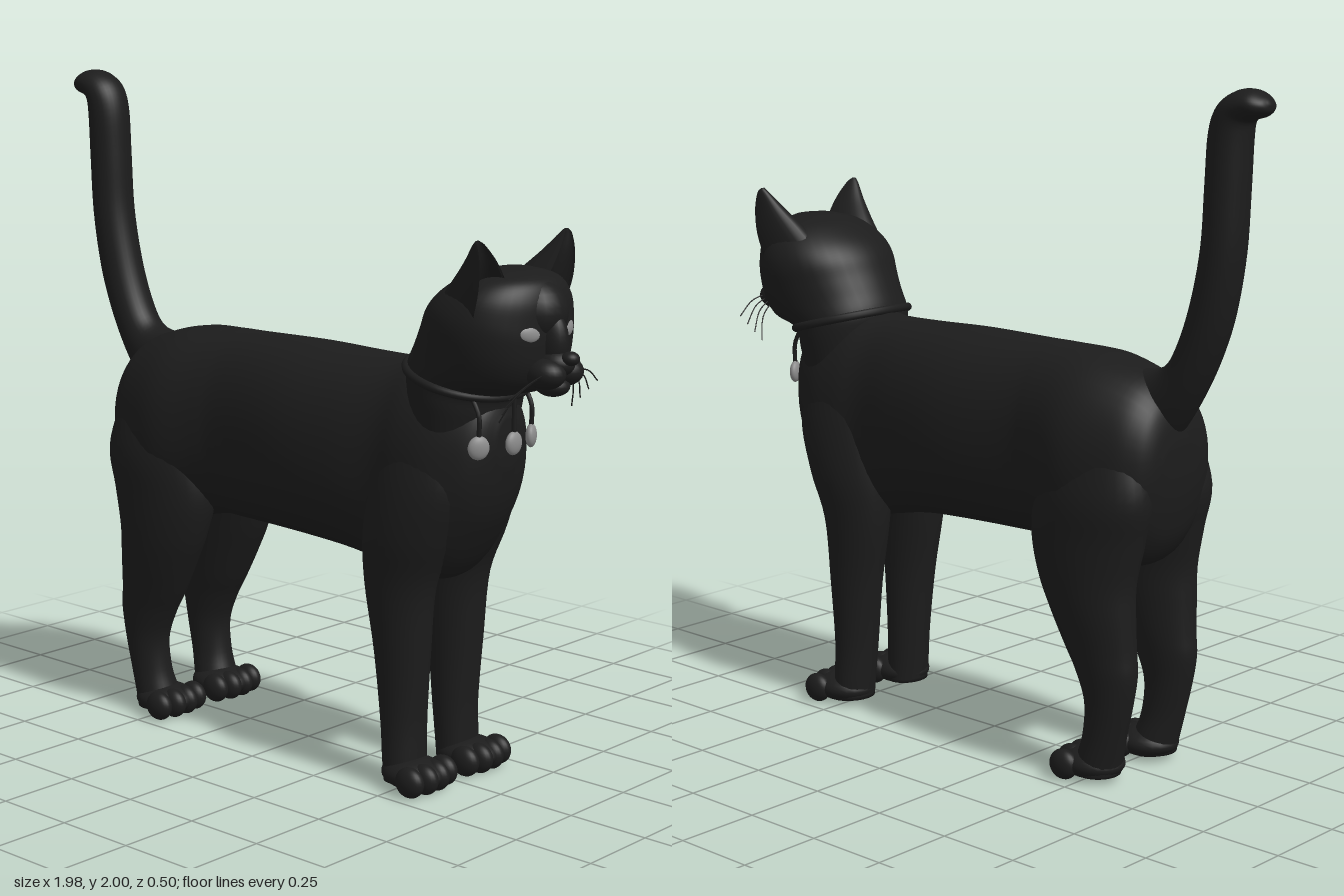
import * as THREE from 'three';

const fur = new THREE.MeshStandardMaterial({ color: 0x1c1c1c });
fur.name = 'black fur';
const silver = new THREE.MeshStandardMaterial({ color: 0x8c8c8c });
silver.name = 'silver grey';

// Smooth skin through oval sections: [ax, ay, bx, by, half width in z, z centre].
// Each oval spans from a to b; hollow folds its front half inward.
function loft(rows, { side = 1, power = 1, hollow = false, seg = 32, sub = 5 } = {}) {
  const curve = (f) => new THREE.CatmullRomCurve3(rows.map(f), false, 'catmullrom', 0.5);
  const ca = curve((r) => new THREE.Vector3(r[0], r[1], r[4]));
  const cb = curve((r) => new THREE.Vector3(r[2], r[3], (r[5] || 0) * side));
  const n = (rows.length - 1) * sub;
  const pos = [], idx = [];
  const pw = (v) => Math.sign(v) * Math.abs(v) ** power;
  const ring = (t, k) => {
    const a = ca.getPoint(t), b = cb.getPoint(t);
    for (let j = 0; j < seg; j++) {
      const th = (j / seg) * Math.PI * 2;
      let c = pw(Math.cos(th));
      if (hollow && c > 0) c *= -0.45;
      pos.push((a.x + b.x) / 2 + ((b.x - a.x) / 2) * c * k,
        (a.y + b.y) / 2 + ((b.y - a.y) / 2) * c * k,
        b.z + a.z * pw(Math.sin(th)) * k);
    }
  };
  ring(0, 0.001);
  for (let i = 0; i <= n; i++) ring(i / n, 1);
  ring(1, 0.001);
  for (let i = 0; i < n + 2; i++) {
    for (let j = 0; j < seg; j++) {
      const p = i * seg + j, q = i * seg + ((j + 1) % seg);
      idx.push(p, q, q + seg, p, q + seg, p + seg);
    }
  }
  const g = new THREE.BufferGeometry();
  g.setAttribute('position', new THREE.Float32BufferAttribute(pos, 3));
  g.setIndex(idx);
  g.computeVertexNormals();
  return g;
}

export function createModel() {
  const cat = new THREE.Group();
  cat.name = 'cat';
  const add = (name, geo, mat = fur) => {
    const m = new THREE.Mesh(geo, mat);
    m.name = name;
    cat.add(m);
    return m;
  };
  const ball = (name, p, r, mat = fur) => {
    const m = add(name, new THREE.SphereGeometry(1, 24, 16), mat);
    m.position.set(...p);
    m.scale.set(...r);
    return m;
  };
  const tube = (name, pts, r, closed = false, n = 8) => add(name, new THREE.TubeGeometry(
    new THREE.CatmullRomCurve3(pts.map((p) => new THREE.Vector3(...p)), closed), n, r, closed ? 10 : 5, closed));

  // Body, rump to chest: [x, bottom, top, half width]
  add('body', loft([
    [-0.713, 0.9, 1.0, 0.08], [-0.7, 0.8, 1.08, 0.13], [-0.67, 0.7, 1.14, 0.17],
    [-0.6, 0.63, 1.19, 0.21], [-0.45, 0.63, 1.23, 0.242], [-0.3, 0.66, 1.237, 0.21],
    [-0.2, 0.66, 1.238, 0.2], [0.05, 0.655, 1.24, 0.222], [0.25, 0.64, 1.235, 0.21],
    [0.4, 0.61, 1.235, 0.19], [0.5, 0.6, 1.245, 0.2], [0.6, 0.63, 1.22, 0.195],
    [0.69, 0.76, 1.18, 0.155], [0.735, 0.86, 1.16, 0.11], [0.76, 0.97, 1.1, 0.05],
  ].map(([x, b, t, w]) => [x, b, x, t, w]), { power: 0.9, seg: 40 }));

  // Upright tail with a hooked tip
  add('tail', loft([
    [-0.5, 1.2, -0.66, 0.98, 0.08], [-0.6, 1.2, -0.705, 1.03, 0.075], [-0.665, 1.225, -0.77, 1.13, 0.07],
    [-0.71, 1.3, -0.83, 1.25, 0.068], [-0.75, 1.42, -0.875, 1.38, 0.067], [-0.78, 1.57, -0.905, 1.55, 0.067],
    [-0.79, 1.74, -0.915, 1.72, 0.067], [-0.8, 1.88, -0.92, 1.86, 0.068], [-0.83, 1.955, -0.925, 1.905, 0.068],
    [-0.885, 1.993, -0.945, 1.918, 0.066], [-0.935, 1.998, -0.97, 1.925, 0.058],
    [-0.97, 1.982, -0.988, 1.94, 0.035], [-0.985, 1.97, -0.991, 1.958, 0.008],
  ]));

  // Head and neck, crown to collar
  add('head', loft([
    [0.72, 1.525, 0.82, 1.522, 0.06], [0.66, 1.51, 0.88, 1.495, 0.14], [0.61, 1.485, 0.905, 1.445, 0.19],
    [0.56, 1.45, 0.91, 1.38, 0.217], [0.525, 1.41, 0.91, 1.32, 0.224], [0.5, 1.36, 0.9, 1.25, 0.215],
    [0.475, 1.31, 0.86, 1.195, 0.203], [0.45, 1.25, 0.765, 1.165, 0.19],
    [0.45, 1.2, 0.745, 1.1, 0.185], [0.46, 1.12, 0.72, 1.0, 0.17],
  ], { seg: 40 }));
  ball('forehead', [0.82, 1.41, 0], [0.113, 0.1, 0.1]);
  ball('noseBridge', [0.895, 1.335, 0], [0.055, 0.085, 0.04]);
  ball('nose', [0.963, 1.293, 0], [0.026, 0.02, 0.026]);
  ball('muzzle', [0.91, 1.275, 0], [0.06, 0.04, 0.05]);
  ball('chin', [0.905, 1.212, 0], [0.05, 0.03, 0.045]);

  // Collar around the tilted neck base
  const loop = [];
  for (let i = 0; i < 24; i++) {
    const t = (i / 24) * Math.PI * 2, c = Math.cos(t);
    loop.push([0.607 + 0.157 * c, 1.207 - 0.042 * c, 0.192 * Math.sin(t)]);
  }
  tube('collar', loop, 0.013, true, 64);

  // Round tags hanging from the collar
  for (const s of [-1, 0, 1]) {
    const x = s ? 0.745 : 0.775, z = s * 0.118;
    tube('tagLink', [[x - (s ? 0.025 : 0), 1.17, z], [x, 1.12, z], [x, 1.06, z]], 0.007);
    const tag = ball('tag', [x, 1.033, z], [0.016, 0.034, 0.032], silver);
    tag.rotation.y = -s * 0.5;
  }

  for (const s of [-1, 1]) {
    ball('cheekPad', [0.91, 1.25, s * 0.04], [0.06, 0.043, 0.05]);
    const eye = ball('eye', [0.886, 1.362, s * 0.088], [0.014, 0.024, 0.036], silver);
    eye.rotation.set(s * -0.2, -s * 0.4, 0);

    // Hollow ears opening forward
    add('ear', loft([
      [0.79, 1.617, 0.8, 1.617, 0.006, 0.197], [0.775, 1.602, 0.835, 1.602, 0.018, 0.192],
      [0.735, 1.555, 0.895, 1.545, 0.04, 0.172], [0.68, 1.5, 0.94, 1.46, 0.063, 0.148],
      [0.62, 1.44, 0.96, 1.38, 0.075, 0.13],
    ], { side: s, hollow: true }));

    // Whiskers
    for (let i = 0; i < 4; i++) {
      tube('whisker', [[0.93 - i * 0.01, 1.255 - i * 0.007, s * 0.07],
        [0.93 - i * 0.017, 1.24 - i * 0.015, s * 0.13],
        [0.91 - i * 0.02, 1.2 - i * 0.025, s * (0.2 - i * 0.012)]], 0.002);
    }

    // Legs, top to ankle: [y, back, front, half width, z centre]
    const leg = (name, rows) => add(name,
      loft(rows.map(([y, b, f, w, z]) => [b, y, f, y, w, z]), { side: s }));
    leg('frontLeg', [
      [1.05, 0.42, 0.66, 0.07, 0.11], [0.9, 0.37, 0.69, 0.1, 0.115], [0.75, 0.35, 0.645, 0.105, 0.12],
      [0.6, 0.355, 0.585, 0.087, 0.122], [0.4, 0.39, 0.565, 0.076, 0.12],
      [0.2, 0.415, 0.55, 0.07, 0.117], [0.08, 0.428, 0.55, 0.07, 0.12], [0.02, 0.435, 0.55, 0.07, 0.12],
    ]);
    leg('hindLeg', [
      [1.0, -0.66, -0.36, 0.08, 0.13], [0.85, -0.7, -0.31, 0.11, 0.135], [0.72, -0.675, -0.29, 0.11, 0.135],
      [0.6, -0.65, -0.32, 0.1, 0.14], [0.5, -0.65, -0.365, 0.09, 0.14], [0.4, -0.655, -0.415, 0.077, 0.137],
      [0.33, -0.66, -0.455, 0.068, 0.137], [0.24, -0.645, -0.49, 0.06, 0.137],
      [0.14, -0.62, -0.485, 0.06, 0.135], [0.06, -0.6, -0.46, 0.068, 0.13], [0.02, -0.59, -0.46, 0.068, 0.13],
    ]);

    // Paws with four toes
    for (const [name, x] of [['frontPaw', 0.53], ['hindPaw', -0.5]]) {
      ball(name, [x, 0.047, s * 0.125], [0.1, 0.047, 0.088]);
      for (const k of [-1.5, -0.5, 0.5, 1.5]) {
        ball(name + 'Toe', [x + 0.065 - Math.abs(k) * 0.012, 0.045, s * 0.125 + k * 0.05], [0.048, 0.045, 0.031]);
      }
    }
  }
  return cat;
}
